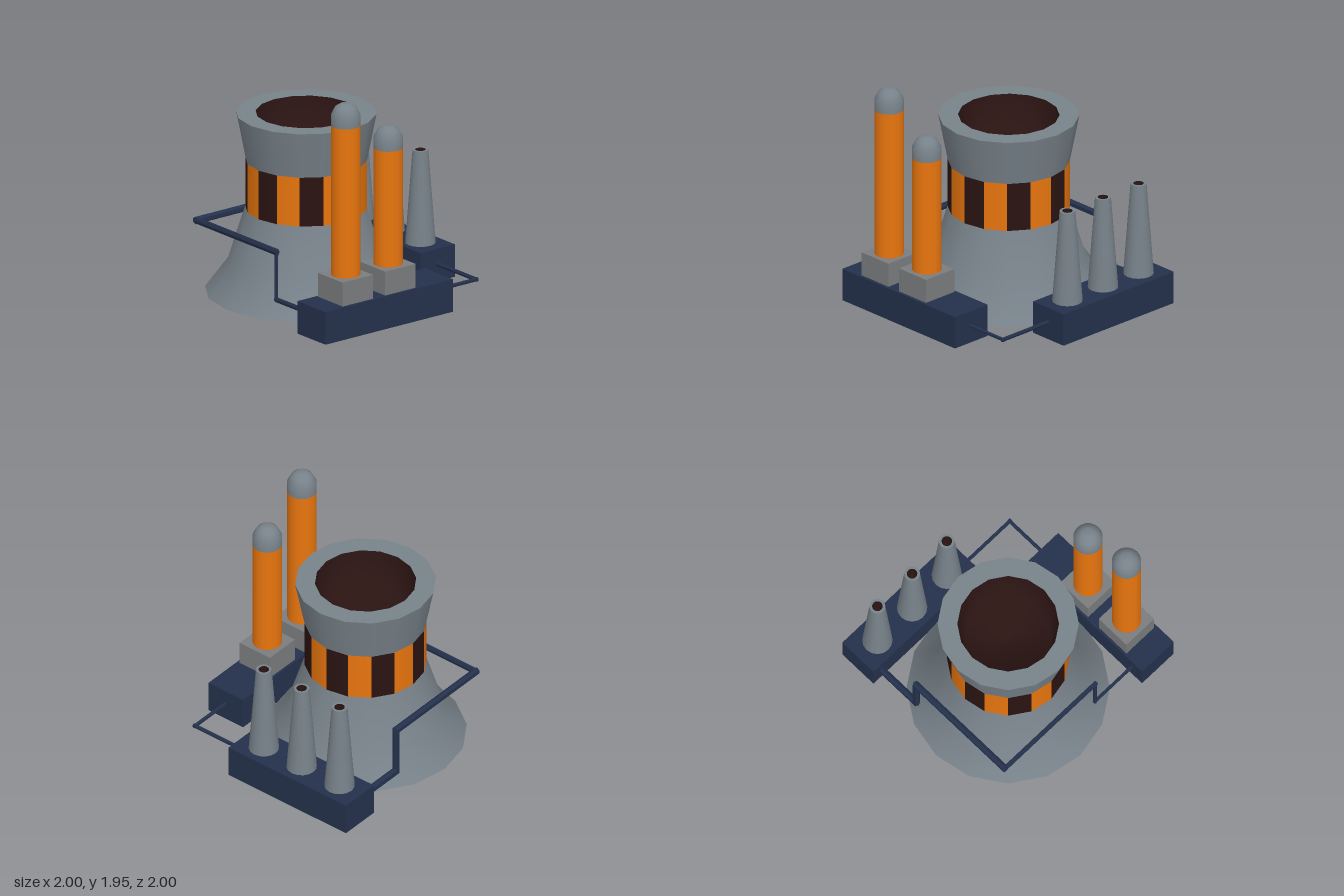
import * as THREE from 'three';

const mat = (color) => new THREE.MeshStandardMaterial({ color, side: THREE.DoubleSide });
const concrete = mat(0x78828a);
const plinthGrey = mat(0x7a7c7e);
const orange = mat(0xe8750e);
const soot = mat(0x2a1412);
const navy = mat(0x24314c);

function add(parent, name, geometry, material, x = 0, y = 0, z = 0) {
  const mesh = new THREE.Mesh(geometry, material);
  mesh.name = name;
  mesh.position.set(x, y, z);
  parent.add(mesh);
  return mesh;
}

function group(parent, name, x = 0, y = 0, z = 0) {
  const g = new THREE.Group();
  g.name = name;
  g.position.set(x, y, z);
  parent.add(g);
  return g;
}

// Revolved surface from [radius, height] pairs
function lathe(profile, sides, start = 0, length = Math.PI * 2) {
  return new THREE.LatheGeometry(profile.map(([r, y]) => new THREE.Vector2(r, y)), sides, start, length);
}

// Box given by its limits on each axis
function block(parent, name, [x0, x1], [y0, y1], [z0, z1], material) {
  add(parent, name, new THREE.BoxGeometry(x1 - x0, y1 - y0, z1 - z0), material,
    (x0 + x1) / 2, (y0 + y1) / 2, (z0 + z1) / 2);
}

// Six-sided pipe run; each length has its own [x, y, z] thickness
function pipeRun(parent, name, points, sizes) {
  const g = group(parent, name);
  sizes.forEach((size, i) => {
    const a = new THREE.Vector3(...points[i]);
    const b = new THREE.Vector3(...points[i + 1]);
    const d = b.clone().sub(a);
    const axis = ['x', 'y', 'z'].find((k) => Math.abs(d[k]) > 0.01);
    const geo = new THREE.CylinderGeometry(0.5, 0.5, 1, 6).toNonIndexed();
    if (axis === 'x') geo.rotateZ(Math.PI / 2);
    if (axis === 'z') geo.rotateX(Math.PI / 2);
    const scale = new THREE.Vector3(...size);
    scale[axis] = d.length() + 0.03; // overlap at the elbows
    geo.scale(scale.x, scale.y, scale.z);
    geo.computeVertexNormals();
    const mid = a.add(b).multiplyScalar(0.5);
    add(g, 'pipeLength', geo, navy, mid.x, mid.y, mid.z);
  });
}

export function createModel() {
  const model = new THREE.Group();
  model.name = 'powerPlant';

  // Cooling tower, open underneath
  const tower = group(model, 'coolingTower', -0.17, 0, 0.165);
  add(tower, 'towerSkirt', lathe([[0.83, 0.01], [0.64, 0.27], [0.5, 0.72]], 16), concrete);
  add(tower, 'towerFlare', lathe([[0.5, 1.14], [0.577, 1.54]], 16), concrete);
  add(tower, 'towerRim', lathe([[0.577, 1.54], [0.415, 1.54]], 16), concrete);
  add(tower, 'towerMouth', lathe([[0.415, 1.54], [0.35, 1.22], [0, 1.14]], 16), soot);
  const step = Math.PI / 8;
  for (let i = 0; i < 16; i++) {
    add(tower, 'bandPanel', lathe([[0.5, 0.72], [0.5, 1.14]], 1, i * step, step), i % 2 ? orange : soot);
  }

  // Low buildings
  block(model, 'backBuilding', [-0.92, 0.32], [0, 0.28], [-1, -0.64], navy);
  block(model, 'sideBuilding', [0.635, 1], [0, 0.28], [-0.43, 0.905], navy);

  // Domed silos on plinths
  for (const [z, top] of [[0.545, 1.77], [0.1, 1.483]]) {
    const silo = group(model, 'silo', 0.815, 0, z);
    block(silo, 'siloPlinth', [-0.16, 0.16], [0.28, 0.485], [-0.16, 0.16], plinthGrey);
    add(silo, 'siloBody', lathe([[0.121, 0.485], [0.121, top]], 20), orange);
    add(silo, 'siloDome', lathe(
      [[0.121, 0], [0.121, 0.09], [0.088, 0.155], [0.045, 0.183], [0, 0.183]], 20), concrete, 0, top, 0);
  }

  // Tapered chimneys
  for (const x of [-0.7, -0.3, 0.1]) {
    const chimney = group(model, 'chimney', x, 0, -0.815);
    add(chimney, 'chimneyWall', lathe([[0.125, 0.28], [0.065, 1.08]], 16), concrete);
    add(chimney, 'chimneyRim', lathe([[0.065, 1.08], [0.043, 1.08]], 16), concrete);
    add(chimney, 'chimneyBore', lathe([[0.043, 1.08], [0.038, 0.95], [0, 0.93]], 16), soot);
  }

  // Long pipe round the tower
  pipeRun(model, 'longPipe', [
    [-0.825, 0.15, -0.64], [-0.825, 0.15, -0.24], [-0.825, 0.565, -0.24],
    [-0.825, 0.565, 0.785], [0.213, 0.565, 0.785], [0.213, 0.155, 0.785], [0.64, 0.155, 0.785],
  ], [
    [0.06, 0.075, 0], [0.06, 0, 0.06], [0.06, 0.065, 0],
    [0, 0.06, 0.04], [0.028, 0, 0.035], [0, 0.045, 0.028],
  ]);

  // Short pipe between the buildings
  pipeRun(model, 'shortPipe', [
    [0.32, 0.15, -0.815], [0.825, 0.15, -0.815], [0.825, 0.15, -0.43],
  ], [[0, 0.035, 0.03], [0.03, 0.035, 0]]);

  return model;
}
